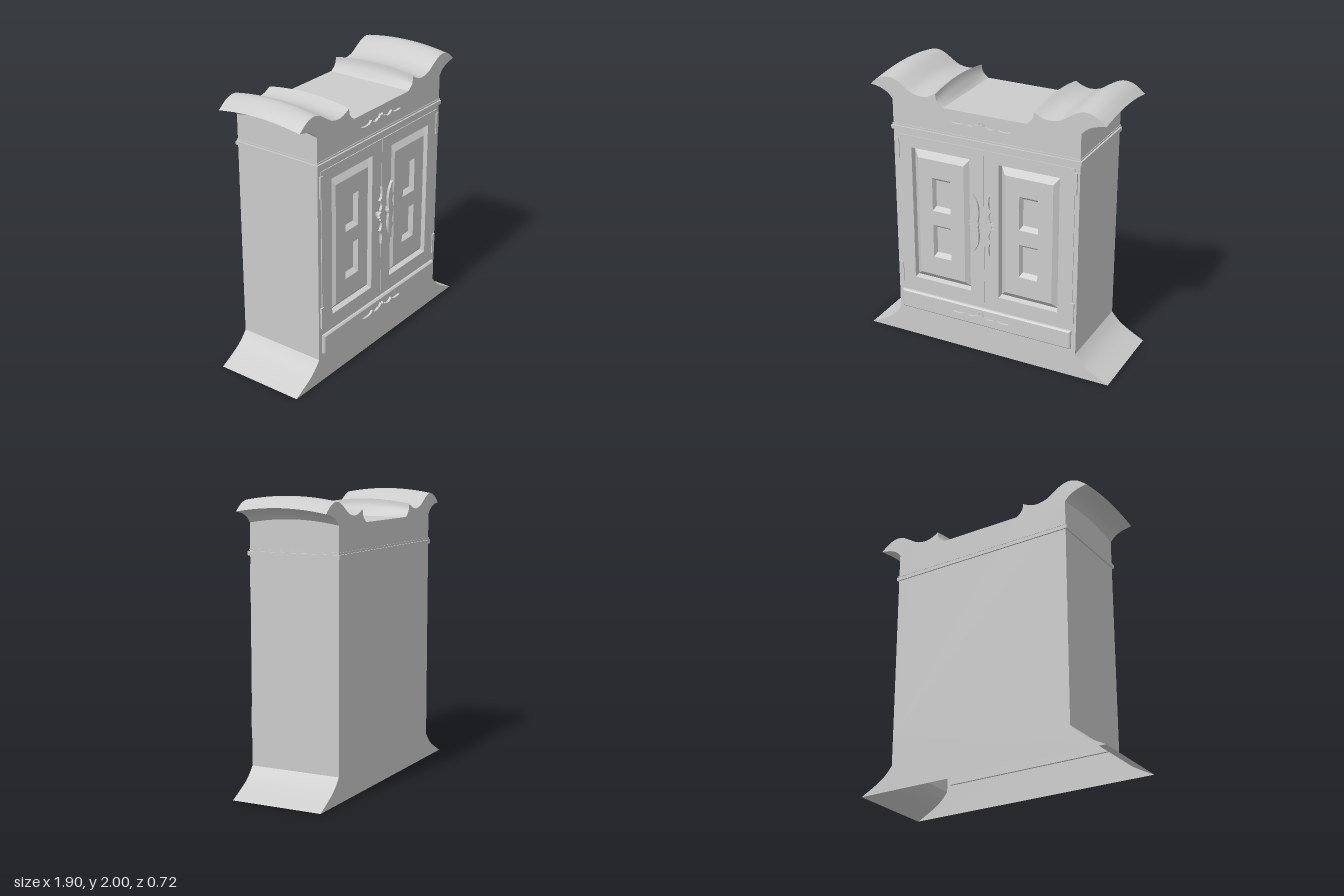
import * as THREE from 'three';
import { toCreasedNormals } from 'three/addons/utils/BufferGeometryUtils.js';

const mat = new THREE.MeshStandardMaterial({ color: 0xcccccc });
const thin = new THREE.MeshStandardMaterial({ color: 0xcccccc, side: THREE.DoubleSide });
const BACK = -0.355, FRONT = 0.305, RECESS = 0.27, FLOOR = 0.4;

const vecs = (pts) => pts.map(([x, y]) => new THREE.Vector2(x, y));
const spline = (pts, n) => new THREE.SplineCurve(vecs(pts)).getPoints(n);
// closes a right-hand outline (bottom to top, ending near x = 0) with its mirror image
const mirrored = (half) => [...half, ...half.map((p) => new THREE.Vector2(-p.x, p.y)).reverse()];
const rectPath = (x0, x1, y0, y1) => new THREE.Path(vecs([[x0, y0], [x0, y1], [x1, y1], [x1, y0]]));

export function createModel() {
  const group = new THREE.Group();

  const add = (name, geo, material = mat, parent = group) => {
    const mesh = new THREE.Mesh(geo, material);
    mesh.name = name;
    parent.add(mesh);
    return mesh;
  };
  const box = (name, x0, x1, y0, y1, z0, z1, parent) =>
    add(name, new THREE.BoxGeometry(x1 - x0, y1 - y0, z1 - z0), mat, parent)
      .position.set((x0 + x1) / 2, (y0 + y1) / 2, (z0 + z1) / 2);
  const extrude = (shape, z0, z1, steps = 1) =>
    new THREE.ExtrudeGeometry(shape, { depth: z1 - z0, steps, bevelEnabled: false, curveSegments: 8 }).translate(0, 0, z0);

  // nested rectangles [x0, x1, y0, y1, z] joined outside to inside, optionally capped
  const rectLoft = (rings, cap) => {
    const pos = [];
    const corners = ([x0, x1, y0, y1, z]) => [[x0, y0, z], [x1, y0, z], [x1, y1, z], [x0, y1, z]];
    const quad = (a, b, c, d) => pos.push(...a, ...b, ...c, ...a, ...c, ...d);
    for (let r = 0; r + 1 < rings.length; r++) {
      const o = corners(rings[r]), i = corners(rings[r + 1]);
      for (let k = 0; k < 4; k++) quad(o[k], o[(k + 1) % 4], i[(k + 1) % 4], i[k]);
    }
    if (cap) quad(...corners(rings[rings.length - 1]));
    const geo = new THREE.BufferGeometry();
    geo.setAttribute('position', new THREE.Float32BufferAttribute(pos, 3));
    geo.computeVertexNormals();
    return geo;
  };

  // case with upturned scrolls; the scrolls arch gently from front to back
  const outline = mirrored([
    ...vecs([[0.7, FLOOR], [0.7, 1.82]]),
    ...spline([[0.7, 1.82], [0.74, 1.86], [0.8, 1.887], [0.87, 1.9]], 8).slice(1),
    ...spline([[0.87, 1.9], [0.8, 1.953], [0.73, 1.972], [0.67, 1.958], [0.61, 1.922], [0.55, 1.886],
      [0.48, 1.872], [0.42, 1.882], [0.365, 1.91]], 28).slice(1),
    ...spline([[0.365, 1.91], [0.358, 1.868], [0.335, 1.838], [0.31, 1.82]], 6).slice(1),
  ]);
  const arch = (geo) => {
    const p = geo.attributes.position;
    const zc = (BACK + FRONT) / 2, zh = (FRONT - BACK) / 2;
    for (let i = 0; i < p.count; i++) {
      if (p.getY(i) < 1.8) continue;
      const w = THREE.MathUtils.smoothstep(Math.abs(p.getX(i)), 0.31, 0.36);
      p.setY(i, p.getY(i) + 0.03 * w * (1 - ((p.getZ(i) - zc) / zh) ** 2));
    }
    return toCreasedNormals(geo, 0.5);
  };
  const panelHoles = [[-0.56, -0.11], [0.11, 0.56]];
  add('case', arch(extrude(new THREE.Shape(outline), BACK, RECESS, 14)));
  const face = new THREE.Shape(outline);
  for (const [a, b] of panelHoles) face.holes.push(rectPath(a, b, 0.48, 1.49));
  add('caseFront', arch(extrude(face, RECESS, FRONT)));

  // hollow flared base, open underneath
  const flare = [...vecs([[0.7, FLOOR]]), ...spline([[0.7, 0.18], [0.75, 0.122], [0.82, 0.07], [0.95, 0]], 8)];
  const skirt = new THREE.Shape(mirrored([...flare].reverse()));
  add('baseFront', new THREE.ShapeGeometry(skirt).translate(0, 0, FRONT), thin);
  add('baseBack', new THREE.ShapeGeometry(skirt).rotateY(Math.PI).translate(0, 0, BACK), thin);
  for (const s of [-1, 1]) {
    const geo = new THREE.PlaneGeometry(1, 1, flare.length - 1, 1);
    const p = geo.attributes.position;
    for (let i = 0; i < p.count; i++) {
      const f = flare[i % flare.length];
      // rows swap with the side so both faces point outwards
      p.setXYZ(i, s * f.x, f.y, (i < flare.length) === (s > 0) ? BACK : FRONT);
    }
    geo.computeVertexNormals();
    add(s > 0 ? 'baseSideLeft' : 'baseSideRight', toCreasedNormals(geo, 0.5), thin);
  }

  // cornice moulding
  box('corniceLower', -0.712, 0.712, 1.605, 1.632, BACK - 0.01, FRONT + 0.012);
  box('corniceUpper', -0.704, 0.704, 1.638, 1.647, BACK - 0.004, FRONT + 0.005);

  // carved winged ornament, widest along x
  const ornamentShape = mirrored([
    ...spline([[0, -0.045], [0.02, -0.036], [0.05, -0.04], [0.1, -0.043], [0.16, -0.033], [0.22, 0.002]], 12),
    ...spline([[0.22, 0.002], [0.17, -0.002], [0.135, 0.004], [0.115, 0.022]], 8).slice(1),
    ...spline([[0.115, 0.022], [0.095, 0.004], [0.065, -0.002], [0.04, 0.012]], 6).slice(1),
    ...vecs([[0.028, 0.008], [0.012, 0.034], [0.004, 0.02]]),
  ].slice(1));
  const ornament = (name, x, y, z0, z1, turn = 0) => {
    const mesh = add(name, extrude(new THREE.Shape(ornamentShape), z0, z1));
    mesh.position.set(x, y, 0);
    mesh.rotation.z = turn;
  };
  ornament('topOrnament', -0.02, 1.735, FRONT, 0.322);
  ornament('drawerOrnament', -0.02, 0.295, 0.32, 0.345);

  // drawer front with softened edge, reaching into the base
  box('drawerBody', -0.665, 0.665, 0.222, 0.36, 0.29, 0.312);
  add('drawerFront', rectLoft([[-0.667, 0.667, 0.22, 0.362, FRONT], [-0.667, 0.667, 0.22, 0.362, 0.318],
    [-0.657, 0.657, 0.23, 0.352, 0.328]], true));

  // doors
  for (const s of [-1, 1]) {
    const side = s > 0 ? 'left' : 'right';
    const door = new THREE.Group();
    door.name = side + 'Door';
    group.add(door);
    const c = s * 0.335;
    const plate = new THREE.Shape(vecs([[c - 0.333, 0.405], [c + 0.333, 0.405], [c + 0.333, 1.575], [c - 0.333, 1.575]]));
    plate.holes.push(rectPath(c - 0.225, c + 0.225, 0.48, 1.49));
    add('doorFrame', extrude(plate, FRONT, 0.311), mat, door);

    // raised panel with bevelled border
    const inner = [c - 0.178, c + 0.178, 0.535, 1.425, 0.308];
    add('panelBevel', rectLoft([[c - 0.225, c + 0.225, 0.48, 1.49, 0.311], [c - 0.218, c + 0.218, 0.492, 1.478, 0.274], inner]), thin, door);
    const field = new THREE.Shape(vecs([[inner[0], inner[2]], [inner[1], inner[2]], [inner[1], inner[3]], [inner[0], inner[3]]]));
    for (const y of [0.68, 1.04]) {
      const w = 0.07, h = 0.25;
      field.holes.push(rectPath(c - w, c + w, y, y + h));
      add('sunkenSquare', rectLoft([[c - w, c + w, y, y + h, 0.308],
        [c - w + 0.014, c + w - 0.014, y + 0.026, y + h - 0.026, 0.275]], true), mat, door);
    }
    add('panelField', new THREE.ShapeGeometry(field).translate(0, 0, 0.308), mat, door);

    // hinges and handle
    for (const y of [0.425, 1.39]) box('hinge', s * 0.67 - 0.014, s * 0.67 + 0.014, y, y + 0.155, FRONT, 0.318, door);
    box('handlePost', s * 0.055 - 0.015, s * 0.055 + 0.015, 1.025, 1.05, FRONT, 0.345, door);
    ornament(side + 'Handle', s * 0.06, 1.04, 0.342, 0.36, -s * Math.PI / 2);
  }
  return group;
}
